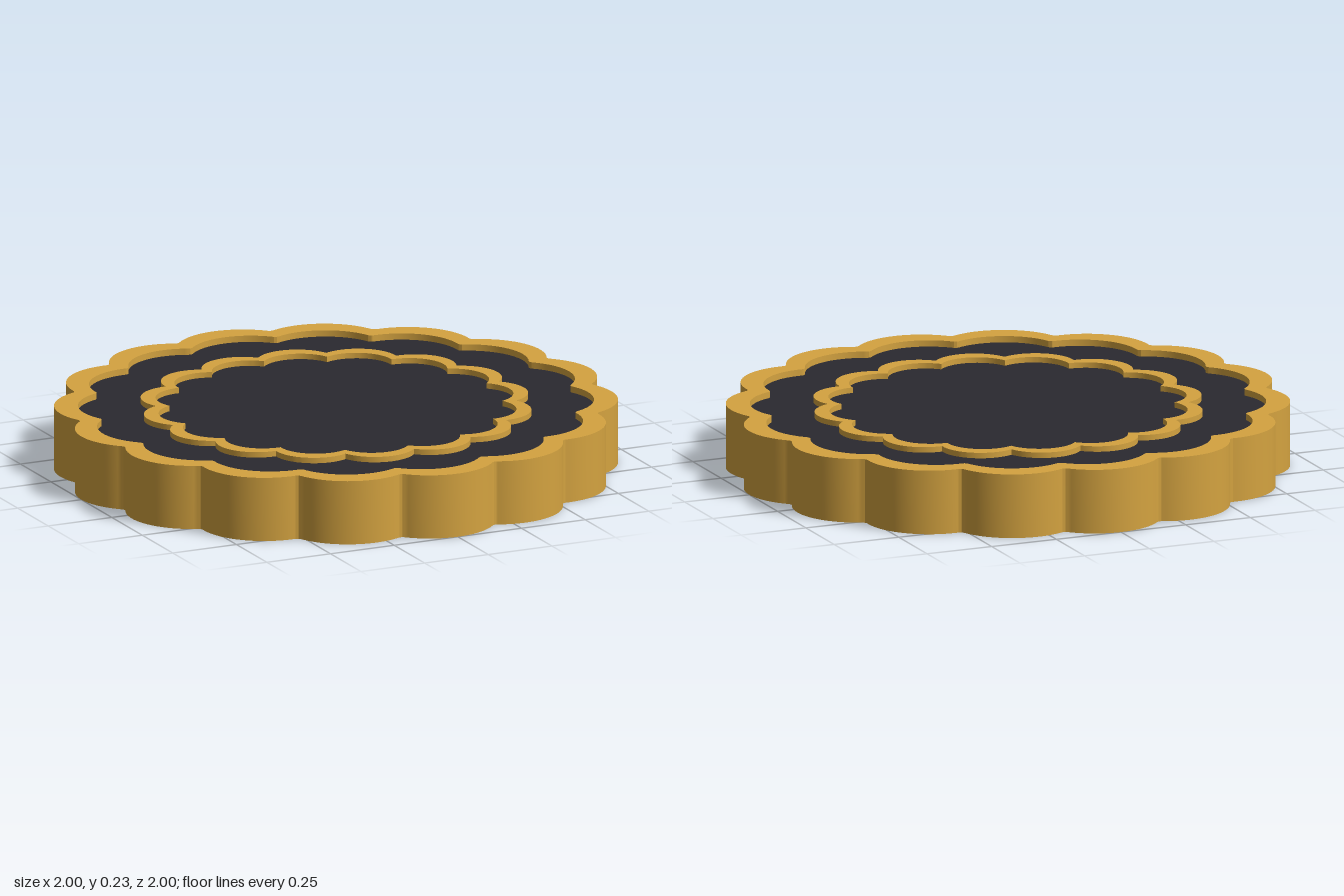
import * as THREE from 'three';
import { toCreasedNormals } from 'three/addons/utils/BufferGeometryUtils.js';

const LOBES = 16;
const STEP = (Math.PI * 2) / LOBES;

// Scalloped outline: lobe circles of radius r at distance c, notches rounded by radius f
function scallop(path, { c, r, f, turn }, scale) {
  const half = STEP / 2;
  const d = c * Math.cos(half) + Math.sqrt((r + f) ** 2 - (c * Math.sin(half)) ** 2);
  const phi = Math.atan2(d * Math.sin(half), d * Math.cos(half) - c);
  for (let i = 0; i < LOBES; i++) {
    const t = turn + i * STEP;
    path.absarc(scale * c * Math.cos(t), scale * c * Math.sin(t), scale * r, t - phi, t + phi, false);
    if (f > 0) {
      const n = t + half;
      path.absarc(scale * d * Math.cos(n), scale * d * Math.sin(n), scale * f,
        t + phi + Math.PI, t + STEP - phi + Math.PI, true);
    }
  }
  return path;
}

// Upright extrusion of an outline between two heights, with an optional scaled hole
function slab(name, outline, outer, inner, y0, y1, material) {
  const shape = scallop(new THREE.Shape(), outline, outer);
  if (inner) shape.holes.push(scallop(new THREE.Path(), outline, inner));
  let geometry = new THREE.ExtrudeGeometry(shape, { depth: y1 - y0, bevelEnabled: false, curveSegments: 14 });
  geometry.rotateX(-Math.PI / 2);
  geometry.translate(0, y0, 0);
  geometry = toCreasedNormals(geometry, 0.6);
  const mesh = new THREE.Mesh(geometry, material);
  mesh.name = name;
  return mesh;
}

export function createModel() {
  const group = new THREE.Group();
  group.name = 'scallopedMedallion';
  const gold = new THREE.MeshStandardMaterial({ color: 0xd4a340 });
  const dark = new THREE.MeshStandardMaterial({ color: 0x2a2930 });

  const rimOutline = { c: 0.765, r: 0.235, f: 0.02, turn: 0 };
  const ringOutline = { c: 0.553, r: 0.145, f: 0, turn: STEP / 2 };

  // Tall outer rim, recessed plate, and inner ring standing proud of both plate faces
  group.add(slab('outerRim', rimOutline, 1, 0.915, 0, 0.233, gold));
  group.add(slab('plate', rimOutline, 0.95, 0, 0.018, 0.21, dark));
  group.add(slab('innerRing', ringOutline, 1, 0.923, 0.003, 0.23, gold));
  return group;
}
